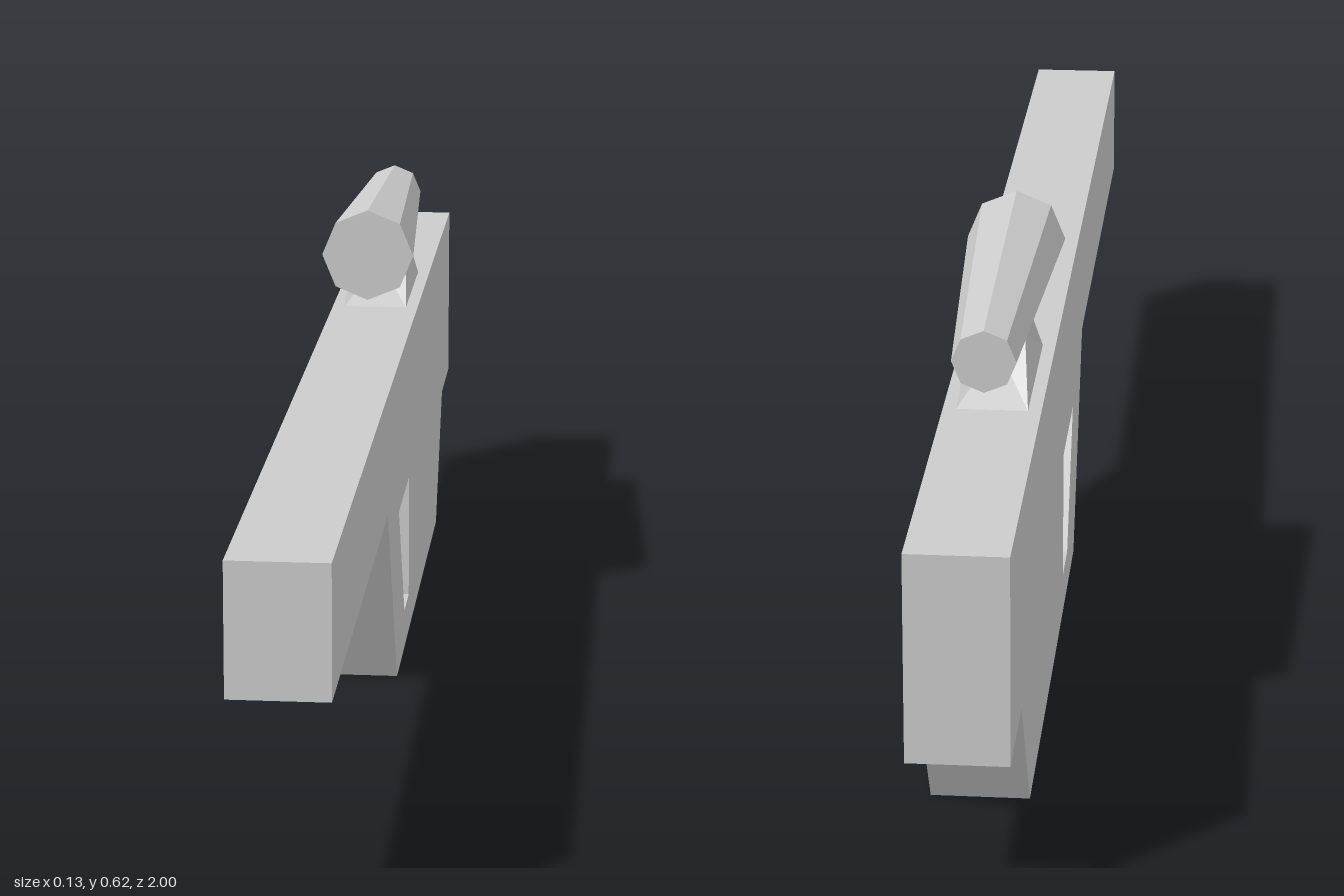
import * as THREE from 'three';

const material = new THREE.MeshStandardMaterial({ color: 0xcccccc, flatShading: true });

function addPart(group, name, geometry) {
  const mesh = new THREE.Mesh(geometry, material);
  mesh.name = name;
  group.add(mesh);
  return mesh;
}

const points = (list) => list.map(([z, y]) => new THREE.Vector2(z, y));

// Side profile in (z, y) with the trigger opening, extruded across x
function bodyGeometry(width) {
  const shape = new THREE.Shape(points([
    [1, 0.447], [-1, 0.447], [-1, 0.183], [-0.845, 0.183],
    [-0.72, 0], [0.06, 0], [0.225, 0.281], [1, 0.281],
  ]));
  shape.holes.push(new THREE.Path(points([
    [0.035, 0.232], [-0.07, 0.055], [-0.15, 0.055], [-0.15, 0.232],
  ])));
  const geometry = new THREE.ExtrudeGeometry(shape, { depth: width, bevelEnabled: false });
  return geometry.translate(0, 0, -width / 2).rotateY(-Math.PI / 2);
}

// Tapered foot whose V-shaped top cradles the scope
function mountGeometry() {
  const end = (baseZ, topZ, topX, sideY, midY) => [
    -0.045, 0.447, baseZ, 0.045, 0.447, baseZ,
    topX, sideY, topZ, 0, midY, topZ, -topX, sideY, topZ,
  ];
  const geometry = new THREE.BufferGeometry();
  geometry.setAttribute('position', new THREE.Float32BufferAttribute([
    ...end(-0.3, -0.38, 0.038, 0.514, 0.497),
    ...end(-0.54, -0.46, 0.035, 0.517, 0.501),
  ], 3));
  geometry.setIndex([
    0, 1, 3, 1, 2, 3, 0, 3, 4, // front
    5, 8, 6, 6, 8, 7, 5, 9, 8, // back
    1, 6, 7, 1, 7, 2, 0, 4, 9, 0, 9, 5, // sides
    2, 7, 8, 2, 8, 3, 3, 8, 9, 3, 9, 4, // cradle
    0, 5, 6, 0, 6, 1, // underside
  ]);
  const flat = geometry.toNonIndexed();
  flat.computeVertexNormals();
  return flat;
}

export function createModel() {
  const model = new THREE.Group();
  model.name = 'rifle';

  addPart(model, 'body', bodyGeometry(0.124));
  addPart(model, 'scopeMount', mountGeometry());

  // Eight-sided scope, wider at the front
  const scope = addPart(model, 'scope',
    new THREE.CylinderGeometry(0.065, 0.04, 0.477, 8).rotateX(Math.PI / 2));
  scope.position.set(0, 0.551, -0.41);

  return model;
}
